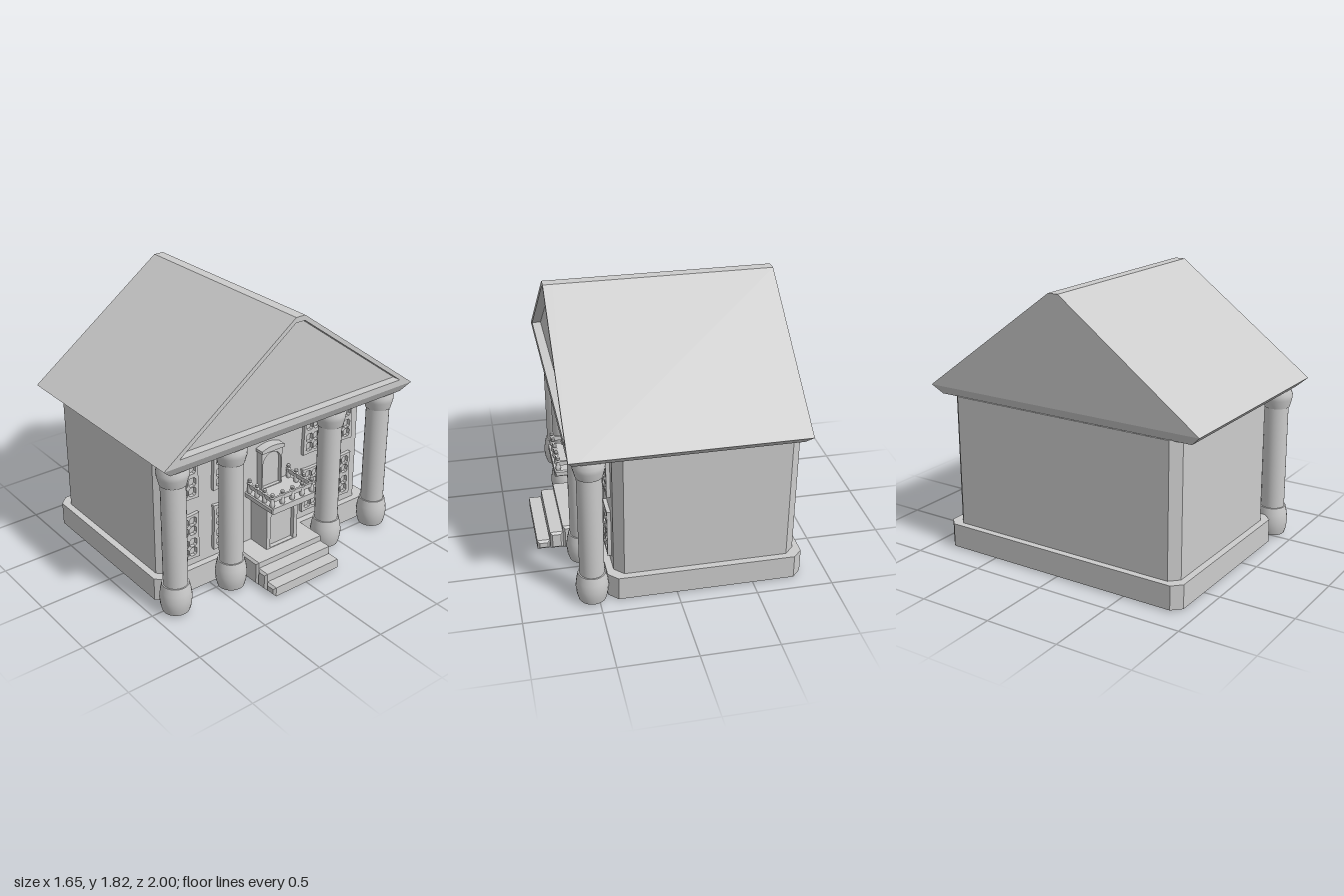
import * as THREE from 'three';
import { toCreasedNormals } from 'three/addons/utils/BufferGeometryUtils.js';

const grey = new THREE.MeshStandardMaterial({ color: 0xcccccc });
const greyDouble = new THREE.MeshStandardMaterial({ color: 0xcccccc, side: THREE.DoubleSide });

const poly = (pts) => new THREE.Shape(pts.map(([x, y]) => new THREE.Vector2(x, y)));

// Rectangle with chamfered corners
const chamferRect = (x0, x1, y0, y1, c) => poly([
  [x0 + c, y0], [x1 - c, y0], [x1, y0 + c], [x1, y1 - c],
  [x1 - c, y1], [x0 + c, y1], [x0, y1 - c], [x0, y0 + c]]);

// Doorway outline with a round head
function archShape(half, y0, top) {
  const s = new THREE.Shape();
  s.moveTo(-half, y0);
  s.lineTo(half, y0);
  s.lineTo(half, top - half);
  s.absarc(0, top - half, half, 0, Math.PI, false);
  s.closePath();
  return s;
}

// Extrude an outline drawn in (-z, y) along x
function extrudeX(shape, x0, x1) {
  const g = new THREE.ExtrudeGeometry(shape, { depth: x1 - x0, bevelEnabled: false, curveSegments: 10 });
  return g.rotateY(Math.PI / 2).translate(x0, 0, 0);
}

// Extrude a plan drawn in (x, z) upward
function extrudeY(shape, y0, y1) {
  const g = new THREE.ExtrudeGeometry(shape, { depth: y1 - y0, bevelEnabled: false });
  return g.rotateX(-Math.PI / 2).translate(0, y0, 0);
}

// Box with bevelled edges
function bevelBox(x0, x1, y0, y1, halfZ, b) {
  const s = poly([[x0 + b, y0 + b], [x1 - b, y0 + b], [x1 - b, y1 - b], [x0 + b, y1 - b]]);
  const depth = 2 * (halfZ - b);
  return new THREE.ExtrudeGeometry(s, { depth, bevelSize: b, bevelThickness: b, bevelSegments: 1 })
    .translate(0, 0, -depth / 2);
}

function lathe(points, sides) {
  const curve = points.map(([r, y]) => new THREE.Vector2(r, y));
  return toCreasedNormals(new THREE.LatheGeometry(curve, sides), 0.6);
}

// Wavy window frame with two sashes of four panes
function windowGeometry() {
  const s = new THREE.Shape();
  const w = 0.08, h = 0.165;
  s.moveTo(-w, -h);
  s.quadraticCurveTo(0, -h + 0.008, w, -h);
  s.bezierCurveTo(w + 0.008, -h / 2, w - 0.016, h / 3, w, h);
  s.quadraticCurveTo(0, h - 0.012, -w, h);
  s.bezierCurveTo(-w + 0.016, h / 3, -w - 0.008, -h / 2, -w, -h);
  for (const sash of [-0.078, 0.078]) for (const row of [-1, 1]) for (const col of [-1, 1]) {
    const x = col * 0.031, y = sash + row * 0.034;
    s.holes.push(chamferRect(x - 0.027, x + 0.027, y - 0.03, y + 0.03, 0.012));
  }
  return extrudeX(s, 0.39, 0.42);
}

export function createModel() {
  const model = new THREE.Group();
  const add = (name, geometry, parent = model, material = grey) => {
    const m = new THREE.Mesh(geometry, material);
    m.name = name;
    parent.add(m);
    return m;
  };
  const group = (name) => {
    const g = new THREE.Group();
    g.name = name;
    model.add(g);
    return g;
  };

  // Hollow house: plinth, ledge and walls as chamfered rings, open below
  const ring = (outer, inner) => { outer.holes.push(inner); return outer; };
  const outline = (inset) => chamferRect(-0.83 + inset, 0.44 - inset, -0.9 + inset, 0.9 - inset, 0.06);
  add('plinth', extrudeY(ring(outline(0), outline(0.01)), 0.01, 0.17));
  add('plinthLedge', extrudeY(ring(outline(0.004), outline(0.055)), 0.16, 0.17));
  add('walls', extrudeY(ring(outline(0.045), outline(0.055)), 0.165, 1.055));

  // Eave: a slab narrowing toward its underside
  const eave = new THREE.BoxGeometry(1.48, 0.06, 2).translate(-0.06, 1.08, 0);
  const p = eave.attributes.position;
  for (let i = 0; i < p.count; i++) {
    if (p.getY(i) < 1.08) {
      p.setX(i, -0.06 + (p.getX(i) + 0.06) * 0.955);
      p.setZ(i, p.getZ(i) * 0.935);
    }
  }
  eave.computeVertexNormals();
  const roof = group('roof');
  add('eave', eave, roof);

  // Gable roof with a recessed pediment
  const gable = () => poly([[-1, 1.11], [1, 1.11], [0.035, 1.82], [-0.035, 1.82]]);
  add('gableRoof', extrudeX(gable(), -0.8, 0.62), roof);
  const tympanum = poly([[-0.89, 1.155], [0.89, 1.155], [0.035, 1.785], [-0.035, 1.785]]);
  add('pedimentFrame', extrudeX(ring(gable(), tympanum), 0.62, 0.68), roof);

  // Columns, each turned as one piece
  const columnGeometry = lathe([
    [0.088, 0.02], [0.099, 0.06], [0.105, 0.115], [0.099, 0.165], [0.088, 0.215],
    [0.079, 0.215], [0.079, 0.925], [0.086, 0.925], [0.1, 0.98], [0.104, 1.01], [0.088, 1.055]], 24);
  const columns = group('columns');
  for (const z of [-0.845, -0.41, 0.41, 0.845]) {
    add('column', columnGeometry, columns, greyDouble).position.set(0.54, 0, z);
  }

  // Entrance steps
  const steps = group('steps');
  add('porch', bevelBox(0.38, 0.65, 0, 0.17, 0.28, 0.015), steps);
  add('upperStep', bevelBox(0.65, 0.737, 0.005, 0.13, 0.28, 0.015), steps);
  add('lowerStep', bevelBox(0.74, 0.825, 0.01, 0.075, 0.28, 0.015), steps);

  // Door surround with an arched recess
  const entrance = group('entrance');
  const surround = poly([[-0.13, 0.165], [0.13, 0.165], [0.13, 0.49], [-0.13, 0.49]]);
  add('doorSurround', extrudeX(ring(surround, archShape(0.1, 0.175, 0.48)), 0.39, 0.56), entrance);
  add('door', extrudeX(archShape(0.101, 0.17, 0.481), 0.39, 0.53), entrance);
  add('doorCornice', bevelBox(0.39, 0.575, 0.485, 0.515, 0.12, 0.006), entrance);

  // Balcony door with a curved head
  const head = poly([[-0.085, 0.55], [0.085, 0.55], [0.085, 0.83], [-0.085, 0.83]]);
  add('balconySurround', extrudeX(ring(head, archShape(0.075, 0.56, 0.81)), 0.39, 0.445), entrance);
  add('balconyDoor', extrudeX(archShape(0.076, 0.555, 0.811), 0.39, 0.42), entrance);
  const crown = new THREE.Shape();
  crown.moveTo(-0.095, 0.825);
  crown.lineTo(0.095, 0.825);
  crown.lineTo(0.095, 0.845);
  crown.quadraticCurveTo(0, 0.885, -0.095, 0.845);
  crown.closePath();
  add('balconyDoorCrown', extrudeX(crown, 0.39, 0.46), entrance);

  // Balcony slab, rails and turned balusters
  const balcony = group('balcony');
  add('balconySlab', bevelBox(0.39, 0.675, 0.512, 0.555, 0.185, 0.008), balcony);
  const balusterGeometry = lathe([
    [0.014, 0], [0.018, 0.018], [0.016, 0.035], [0.009, 0.055], [0.009, 0.065],
    [0.018, 0.07], [0.009, 0.076], [0.014, 0.086], [0.012, 0.096], [0, 0.1]], 12);
  const spots = [-0.165, -0.0825, 0, 0.0825, 0.165].map((z) => [0.65, z]);
  for (const side of [-1, 1]) {
    for (const x of [0.42, 0.497, 0.573]) spots.push([x, side * 0.165]);
    add('sideRail', new THREE.BoxGeometry(0.25, 0.03, 0.014).translate(0.53, 0.605, side * 0.165), balcony);
  }
  add('frontRail', new THREE.BoxGeometry(0.014, 0.03, 0.33).translate(0.65, 0.605, 0), balcony);
  for (const [x, z] of spots) add('baluster', balusterGeometry, balcony).position.set(x, 0.553, z);

  // Facade windows
  const windows = group('windows');
  const pane = windowGeometry();
  for (const z of [-0.65, -0.375, 0.375, 0.65]) for (const y of [0.395, 0.835]) {
    add('window', pane, windows).position.set(0, y, z);
  }
  return model;
}
